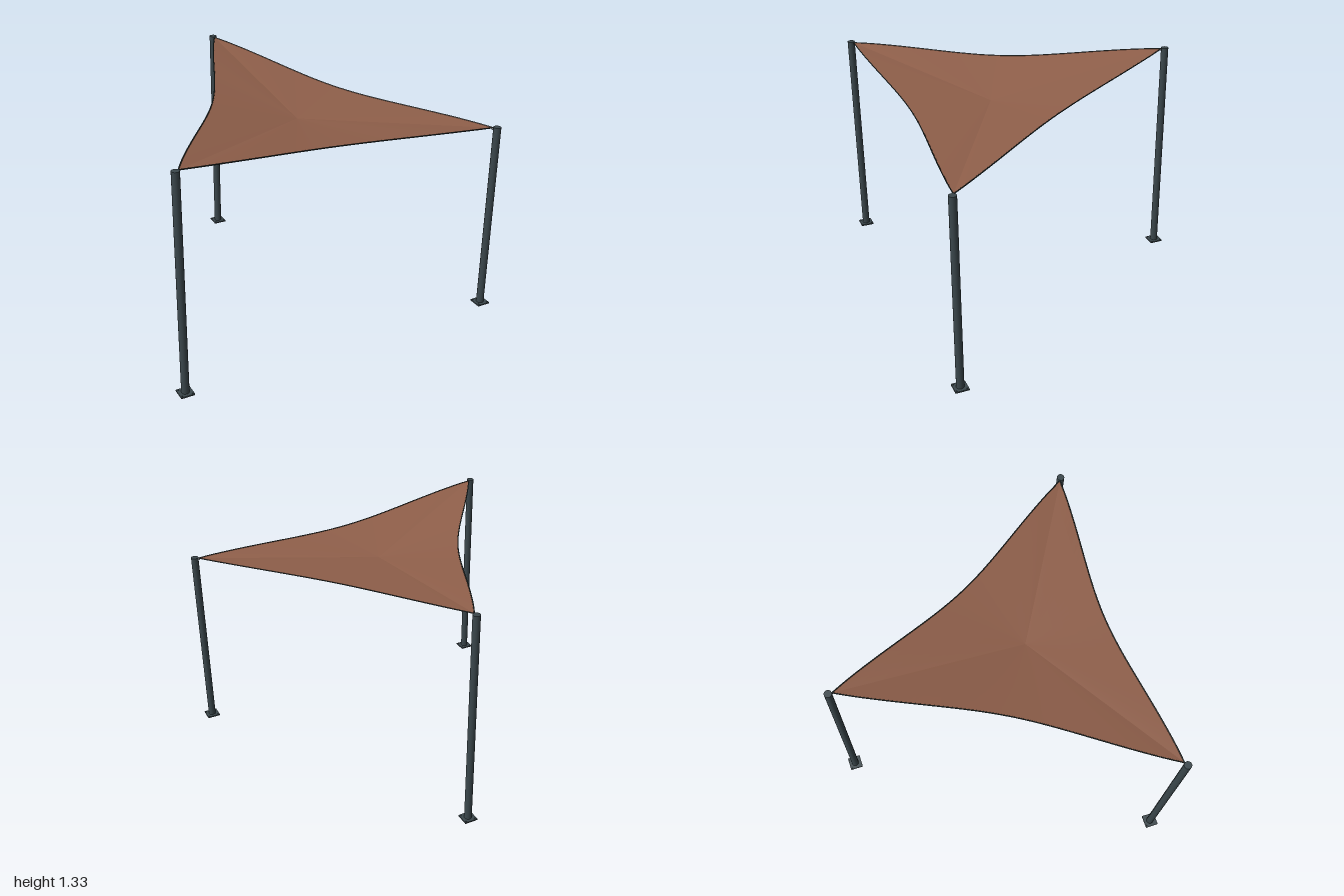
import * as THREE from 'three';

const steel = new THREE.MeshStandardMaterial({ color: 0x3b474c });
steel.name = 'dark steel';
const fabric = new THREE.MeshStandardMaterial({ color: 0x8f5f4a, side: THREE.DoubleSide });
fabric.name = 'terracotta fabric';
const cableMat = new THREE.MeshStandardMaterial({ color: 0x2b3331 });
cableMat.name = 'dark cable';

// Post tops, ordered front left, back, front right
const POSTS = [
  new THREE.Vector3(0.96, 1.14, 0.84),
  new THREE.Vector3(0, 1.33, -0.84),
  new THREE.Vector3(-0.96, 1.29, 0.84),
];
const CENTRE = new THREE.Vector3(0, 1.17, 0.28);
const POST_R = 0.022;

function add(parent, name, geometry, material, x = 0, y = 0, z = 0) {
  const mesh = new THREE.Mesh(geometry, material);
  mesh.name = name;
  mesh.position.set(x, y, z);
  parent.add(mesh);
  return mesh;
}

// Round post on a bolted square plate
function makePost(top) {
  const post = new THREE.Group();
  post.name = 'post';
  post.position.set(top.x, 0, top.z);
  add(post, 'basePlate', new THREE.BoxGeometry(0.078, 0.008, 0.078), steel, 0, 0.004, 0);
  add(post, 'pole', new THREE.CylinderGeometry(POST_R, POST_R, top.y - 0.004, 16), steel, 0, top.y / 2 + 0.002, 0);
  for (const x of [-0.029, 0.029]) for (const z of [-0.029, 0.029]) {
    add(post, 'bolt', new THREE.CylinderGeometry(0.004, 0.004, 0.004, 6), steel, x, 0.01, z);
  }
  return post;
}

// Sail corner, just inside its post
function sailCorner(top) {
  const inward = new THREE.Vector3(CENTRE.x - top.x, 0, CENTRE.z - top.z).normalize();
  return top.clone().addScaledVector(inward, POST_R).setY(top.y - 0.004);
}

// Edge drawn in towards the centre and sagging, most at its middle
function edgePoint(a, b, u) {
  const pull = Math.pow(Math.sin(Math.PI * Math.min(Math.max(u, 0), 1)), 1.6) || 0;
  const p = a.clone().lerp(b, u);
  p.lerp(CENTRE, 0.14 * pull);
  p.y -= 0.018 * pull;
  return p;
}

// One third of the sail: a grid from the centre out to an edge
function sailPanel(a, b) {
  const nu = 28, nv = 8, pos = [], index = [];
  for (let j = 0; j <= nv; j++) {
    for (let i = 0; i <= nu; i++) {
      const p = CENTRE.clone().lerp(edgePoint(a, b, i / nu), j / nv);
      pos.push(p.x, p.y, p.z);
    }
  }
  for (let j = 0; j < nv; j++) {
    for (let i = 0; i < nu; i++) {
      const k = j * (nu + 1) + i, m = k + nu + 1;
      index.push(k, m, m + 1);
      if (j > 0) index.push(k, m + 1, k + 1);
    }
  }
  const g = new THREE.BufferGeometry();
  g.setAttribute('position', new THREE.Float32BufferAttribute(pos, 3));
  g.setIndex(index);
  g.computeVertexNormals();
  return g;
}

export function createModel() {
  const model = new THREE.Group();
  model.name = 'shadeSail';
  const corners = POSTS.map(sailCorner);

  POSTS.forEach((top, i) => {
    model.add(makePost(top));

    const a = corners[i], b = corners[(i + 1) % 3];
    add(model, 'sailPanel', sailPanel(a, b), fabric);

    // Cable along the hem
    const pts = [];
    for (let k = 0; k <= 20; k++) pts.push(edgePoint(a, b, k / 20));
    add(model, 'edgeCable', new THREE.TubeGeometry(new THREE.CatmullRomCurve3(pts), 48, 0.0035, 6), cableMat);

    // Corner ring tying the sail to the post
    const ring = add(model, 'cornerRing', new THREE.TorusGeometry(0.008, 0.002, 6, 16), steel, a.x, a.y - 0.004, a.z);
    ring.rotation.y = Math.atan2(CENTRE.x - a.x, CENTRE.z - a.z) + Math.PI / 2;
  });
  return model;
}
